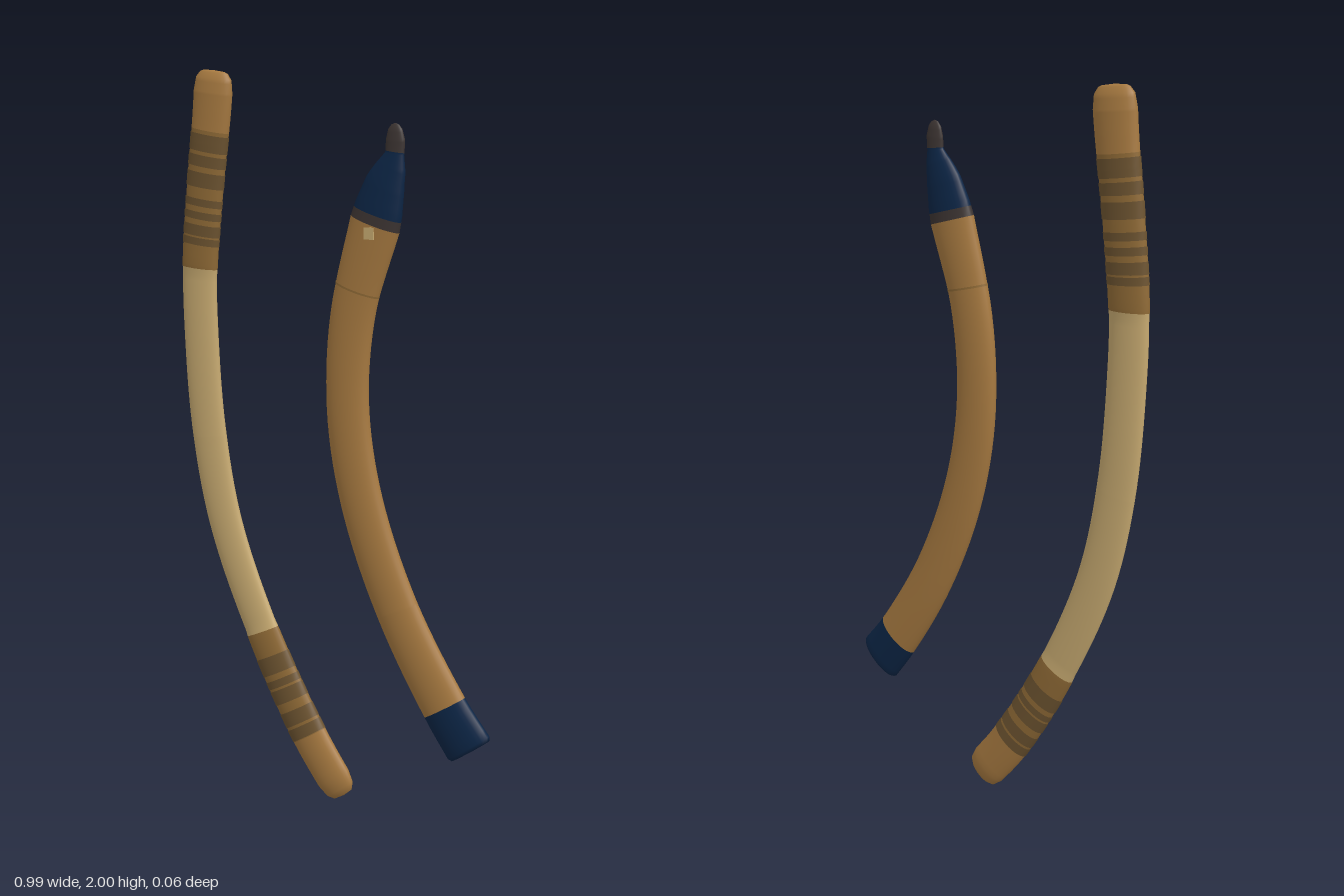
import * as THREE from 'three';

const mat = (name, color) => {
  const m = new THREE.MeshStandardMaterial({ color });
  m.name = name;
  return m;
};

// Sweeps an oval section along a curve in the xy plane.
// line: [x, y] points from bottom to top; profile: [y, half width, half depth].
function makeStick(line, profile) {
  const curve = new THREE.CatmullRomCurve3(line.map(([x, y]) => new THREE.Vector3(x, y, 0)));
  const paramAt = (y) => {
    let lo = 0, hi = 1;
    for (let i = 0; i < 30; i++) {
      const mid = (lo + hi) / 2;
      if (curve.getPoint(mid).y < y) lo = mid; else hi = mid;
    }
    return (lo + hi) / 2;
  };
  const sizeAt = (y) => {
    let k = 1;
    while (k < profile.length - 1 && profile[k][0] < y) k++;
    const [a, b] = [profile[k - 1], profile[k]];
    const f = THREE.MathUtils.clamp((y - a[0]) / (b[0] - a[0]), 0, 1);
    return [1, 2].map((i) => THREE.MathUtils.lerp(a[i], b[i], f));
  };

  // One coloured length of the stick; grow thickens it slightly
  return (name, y0, y1, material, grow = 0) => {
    const ys = profile.map((p) => p[0]).filter((y) => y > y0 && y < y1);
    const n = Math.max(1, Math.ceil((y1 - y0) / 0.035));
    for (let i = 0; i <= n; i++) ys.push(y0 + ((y1 - y0) * i) / n);
    ys.sort((a, b) => a - b);
    const rows = ys.filter((y, i) => i === 0 || y - ys[i - 1] > 1e-5);
    const sides = 28, pos = [], index = [];
    rows.forEach((y, i) => {
      const u = paramAt(y), p = curve.getPoint(u), t = curve.getTangent(u);
      const [w, d] = sizeAt(y);
      for (let j = 0; j < sides; j++) {
        const a = (j / sides) * Math.PI * 2;
        const r = Math.cos(a) * (w + grow);
        pos.push(p.x + t.y * r, p.y - t.x * r, Math.sin(a) * (d + grow));
        if (i === 0) continue;
        const k = (j + 1) % sides, lo = (i - 1) * sides, hi = i * sides;
        index.push(lo + j, hi + j, lo + k, hi + j, hi + k, lo + k);
      }
    });
    const geo = new THREE.BufferGeometry();
    geo.setAttribute('position', new THREE.Float32BufferAttribute(pos, 3));
    geo.setIndex(index);
    geo.computeVertexNormals();
    const mesh = new THREE.Mesh(geo, material);
    mesh.name = name;
    return mesh;
  };
}

export function createModel() {
  const wood = mat('wood', 0xa67940);
  const pale = mat('pale wood', 0xc6a970);
  const wrap = mat('bark wrap', 0x8f6a36);
  const dark = mat('dark wrap', 0x6c5330);
  const navy = mat('navy paint', 0x0c2545);
  const tipBrown = mat('dark tip', 0x3c3432);
  const model = new THREE.Group();

  // Long stick with pale middle and wrapped ends
  const long = new THREE.Group();
  long.name = 'longStick';
  const longPart = makeStick(
    [[0.036, 0.016], [-0.08, 0.17], [-0.24, 0.45], [-0.365, 0.75], [-0.42, 1.02],
      [-0.44, 1.3], [-0.44, 1.47], [-0.415, 1.7], [-0.39, 1.88], [-0.378, 1.996]],
    [[0.016, 0, 0], [0.019, 0.035, 0.011], [0.032, 0.052, 0.019], [0.06, 0.06, 0.025], [0.17, 0.061, 0.027],
      [0.44, 0.058, 0.024], [0.47, 0.056, 0.021], [1, 0.058, 0.021], [1.45, 0.057, 0.022],
      [1.48, 0.059, 0.025], [1.8, 0.06, 0.028], [1.94, 0.062, 0.027], [1.975, 0.057, 0.022],
      [1.99, 0.045, 0.014], [1.994, 0.035, 0.009], [1.996, 0, 0]]);
  long.add(
    longPart('lowerEnd', 0.016, 0.17, wood),
    longPart('lowerWrap', 0.17, 0.45, wrap),
    longPart('paleShaft', 0.45, 1.47, pale),
    longPart('upperWrap', 1.47, 1.84, wrap),
    longPart('upperEnd', 1.84, 1.996, wood));
  // Dark bands wound over the wraps
  const bands = [[0.172, 0.2], [0.207, 0.242], [0.265, 0.3], [0.306, 0.325], [0.34, 0.385],
    [1.535, 1.555], [1.56, 1.59], [1.605, 1.625], [1.64, 1.66], [1.69, 1.73], [1.745, 1.775], [1.785, 1.83]];
  bands.forEach(([a, b]) => long.add(longPart('wrapBand', a, b, dark, 0.0015)));

  // Short stick with painted ends and a small tip
  const short = new THREE.Group();
  short.name = 'shortStick';
  const shortPart = makeStick(
    [[0.437, 0.254], [0.355, 0.36], [0.215, 0.585], [0.112, 0.82], [0.06, 1.02],
      [0.045, 1.2], [0.064, 1.4], [0.127, 1.62], [0.153, 1.71], [0.182, 1.79], [0.184, 1.87]],
    [[0.254, 0, 0], [0.256, 0.068, 0.024], [0.264, 0.075, 0.028], [0.36, 0.071, 0.03], [0.6, 0.067, 0.03],
      [1.2, 0.064, 0.03], [1.45, 0.066, 0.03], [1.62, 0.073, 0.031], [1.66, 0.069, 0.029],
      [1.72, 0.057, 0.024], [1.76, 0.043, 0.018], [1.795, 0.027, 0.012], [1.83, 0.027, 0.011],
      [1.855, 0.02, 0.008], [1.866, 0.011, 0.004], [1.87, 0, 0]]);
  short.add(
    shortPart('lowerPaint', 0.254, 0.36, navy),
    shortPart('woodShaft', 0.36, 1.62, wood),
    shortPart('collar', 1.62, 1.645, tipBrown),
    shortPart('upperPaint', 1.645, 1.8, navy),
    shortPart('tip', 1.8, 1.87, tipBrown),
    shortPart('thinRing', 1.447, 1.452, wrap, 0.001));

  // Small pale chip on the front below the collar
  const chip = new THREE.Mesh(new THREE.BoxGeometry(0.028, 0.03, 0.006), pale);
  chip.name = 'paleChip';
  chip.position.set(0.128, 1.598, 0.03);
  short.add(chip);

  model.add(long, short);
  return model;
}
